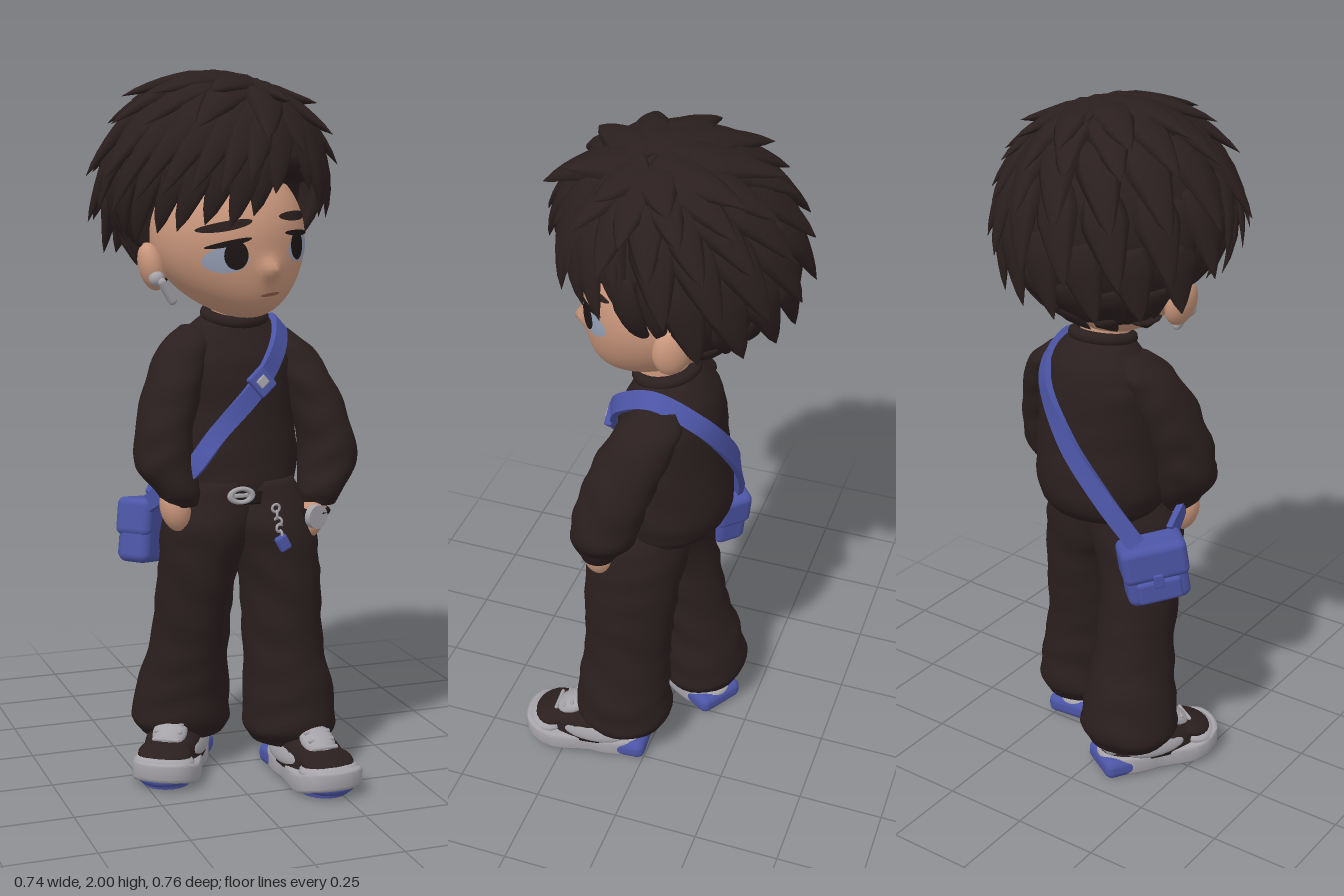
import * as THREE from 'three';
import { mergeGeometries, toCreasedNormals } from 'three/addons/utils/BufferGeometryUtils.js';
import { RoundedBoxGeometry } from 'three/addons/geometries/RoundedBoxGeometry.js';

const V = (x, y, z) => new THREE.Vector3(x, y, z);
const material = (name, color) => {
  const m = new THREE.MeshStandardMaterial({ color });
  m.name = name;
  return m;
};

// Skin a series of rings (arrays of Vector3) into a capped tube
function skin(rings) {
  const n = rings[0].length, pos = [], idx = [];
  rings.forEach(r => r.forEach(p => pos.push(p.x, p.y, p.z)));
  for (let i = 0; i < rings.length - 1; i++) for (let j = 0; j < n; j++) {
    const k = (j + 1) % n, a = i * n + j, b = i * n + k;
    idx.push(a, b, a + n, b, b + n, a + n);
  }
  [0, rings.length - 1].forEach(i => {
    const c = rings[i].reduce((s, p) => s.add(p), V(0, 0, 0)).divideScalar(n);
    const ci = pos.push(c.x, c.y, c.z) / 3 - 1;
    for (let j = 0; j < n; j++) {
      const a = i * n + j, b = i * n + (j + 1) % n;
      i ? idx.push(ci, a, b) : idx.push(ci, b, a);
    }
  });
  const g = new THREE.BufferGeometry();
  g.setAttribute('position', new THREE.Float32BufferAttribute(pos, 3));
  g.setIndex(idx);
  g.computeVertexNormals();
  return g;
}

// Loft through horizontal ellipses [x, y, z, rx, rz] listed from top to bottom, with soft cloth folds
function loft(sections, fold = 0, segs = 28) {
  const centers = new THREE.CatmullRomCurve3(sections.map(s => V(s[0], s[1], s[2])));
  const radii = new THREE.CatmullRomCurve3(sections.map(s => V(s[3], s[4], 0)));
  const steps = (sections.length - 1) * 6, rings = [];
  for (let i = 0; i <= steps; i++) {
    const c = centers.getPoint(i / steps), r = radii.getPoint(i / steps), ring = [];
    for (let j = 0; j < segs; j++) {
      const t = j / segs * Math.PI * 2;
      const f = 1 + fold * Math.sin(c.y * 55 + 2 * Math.sin(t * 2 + c.y * 9)) * (0.6 + 0.4 * Math.cos(3 * t));
      ring.push(V(c.x + Math.cos(t) * r.x * f, c.y, c.z + Math.sin(t) * r.y * f));
    }
    rings.push(ring);
  }
  return skin(rings);
}

// Hair volume
const HC = V(-0.005, 1.68, -0.008), HR = V(0.297, 0.297, 0.315);
const dir = (a, p) => V(Math.sin(p) * Math.sin(a), Math.cos(p), Math.sin(p) * Math.cos(a));
const onHair = (d, s) => d.clone().multiply(HR).multiplyScalar(s).add(HC);

// One pointed lock lying on the hair volume between two directions
function lock(from, to, width, lift) {
  const at = t => onHair(from.clone().lerp(to, t).normalize(), 0.98 + lift * t * t);
  const rings = [], N = 8;
  for (let i = 0; i <= N; i++) {
    const t = i / N, c = at(t), T = at(t + 0.02).sub(at(t - 0.02)).normalize();
    const n = c.clone().sub(HC).normalize();
    n.addScaledVector(T, -n.dot(T)).normalize();
    const side = T.clone().cross(n);
    const w = width * Math.min(1, 0.5 + 1.4 * t) * Math.pow(1 - t, 0.72) + 0.001;
    rings.push([...Array(8).keys()].map(j => {
      const q = j / 8 * Math.PI * 2;
      return c.clone().addScaledVector(n, Math.cos(q) * w * 0.42).addScaledVector(side, Math.sin(q) * w);
    }));
  }
  return skin(rings);
}

function hairGeometry() {
  const parts = [], rings = [];
  const limit = a => {
    const s = Math.abs(a);
    return 1.28 + 0.2 * Math.min(1, s / 1.3) + 1.15 * THREE.MathUtils.smoothstep(s, 1.68, 2.1);
  };
  for (let i = 0; i <= 13; i++) rings.push([...Array(40).keys()].map(j => {
    let a = Math.PI / 2 - j / 40 * Math.PI * 2;
    if (a < -Math.PI) a += Math.PI * 2;
    return onHair(dir(a, 0.02 + limit(a) * Math.min(i, 12) / 12), i === 13 ? 0.75 : 1);
  }));
  parts.push(skin(rings));
  // Rows of locks radiating from the crown
  const pole = V(0.32, 0.93, 0.1).normalize();
  const rows = [[0.45, 6], [0.8, 9], [1.12, 13], [1.45, 16], [1.75, 17], [2.05, 17], [2.35, 15], [2.65, 11]];
  rows.forEach(([p, n], r) => {
    for (let j = 0; j < n; j++) {
      const jit = Math.sin(j * 12.9 + r * 7.3);
      let a = (j + (r % 2) * 0.5) / n * Math.PI * 2 + jit * 0.08;
      if (a > Math.PI) a -= Math.PI * 2;
      const s = Math.abs(a), earFront = a < 0 ? 1.75 : 2.0;
      if ((p > 1.05 && Math.abs(a - 0.38) < 0.25) || (p > 1.3 && s < 1.25) || (p > 1.7 && s < 1.6) || (p > 1.9 && s < earFront)) continue;
      const to = dir(a, p + jit * 0.08), k = Math.min(0.9, 0.85 / to.angleTo(pole));
      const from = to.clone().lerp(pole, k).normalize();
      const lift = p < 0.6 ? 0.1 : p < 2.2 ? 0.2 + 0.03 * jit : 0.07;
      parts.push(lock(from, to, p > 2.2 ? 0.06 : 0.085, a < 0 ? lift * 1.12 : lift));
    }
  });
  // Fringe sweeping both ways from the parting
  const part = V(0.38, 0.76, 0.55).normalize();
  [[-1.5, 2.05], [-1.22, 2.05], [-0.95, 1.97], [-0.7, 1.92], [-0.45, 1.88], [-0.22, 1.88], [0, 1.8], [0.17, 1.6],
    [0.64, 1.58], [0.8, 1.75], [1.0, 1.84], [1.25, 1.84], [1.5, 1.82]].forEach(([a, p], i) => {
    const to = dir(a, p);
    parts.push(lock(part.clone().lerp(dir(a, 0.9), 0.45).normalize(), to, 0.078, i % 2 ? 0.08 : 0.02));
    parts.push(lock(part.clone().lerp(dir(a, 0.6), 0.4).normalize(), dir(a - 0.08, p - 0.3), 0.068, a < 0.1 ? 0.18 : 0.08));
  });
  // Sideburns and the locks over the ears
  [-1, 1].forEach(s => {
    parts.push(lock(dir(s * 1.45, 1.4), dir(s * 1.6, 2.32), 0.058, -0.1));
    parts.push(lock(dir(s * 1.7, 1.2), dir(s * 1.76, 2.08), 0.065, 0));
    parts.push(lock(dir(s * 1.9, 1.2), dir(s * 1.98, 2.1), 0.065, 0.05));
  });
  return mergeGeometries(parts);
}

// Face surface: an ellipsoid narrowed and pushed forward towards the chin, with a small nose
const FR = V(0.215, 0.222, 0.222);
const taper = v => (v < 0 ? 1 - 0.2 * v * v : 1);
const jut = v => (v < 0 ? 0.085 * v * v : 0);
const noseBump = (x, y) => 0.032 * Math.exp(-((x / 0.024) ** 2) - ((y + 0.082) / 0.026) ** 2);
function faceZ(x, y) {
  const v = y / FR.y, u = x / (FR.x * taper(v));
  return FR.z * Math.sqrt(Math.max(0, 1 - u * u - v * v)) + jut(v) + noseBump(x, y);
}

export function createModel() {
  const root = new THREE.Group();
  const dark = material('dark brown cloth and hair', 0x2b1f1f);
  const skinM = material('skin', 0xca977c);
  const blue = material('blue', 0x4c55a6);
  const grey = material('light grey', 0xa5a3a8);
  const black = material('black brown', 0x1d1616);
  const eyeM = material('eye white', 0x98a2b8);
  const lip = material('lip', 0x96604e);
  const add = (name, geo, mat, parent = root, p = [0, 0, 0], r = [0, 0, 0], s = [1, 1, 1]) => {
    const m = new THREE.Mesh(geo, mat);
    m.name = name;
    m.position.set(...p); m.rotation.set(...r); m.scale.set(...s);
    parent.add(m);
  };
  const ball = new THREE.SphereGeometry(1, 24, 16);

  // Head, turned and tilted
  const head = new THREE.Group();
  head.name = 'head';
  head.position.set(0.025, 1.545, 0);
  head.rotation.set(0, 0.2, 0.11);
  root.add(head);
  const skull = new THREE.SphereGeometry(1, 72, 54), sp = skull.attributes.position;
  for (let i = 0; i < sp.count; i++) {
    const v = sp.getY(i), x = sp.getX(i) * FR.x * taper(v), y = v * FR.y, z = sp.getZ(i);
    sp.setXYZ(i, x, y, z * FR.z + jut(v) + (z > 0 ? noseBump(x, y) : 0));
  }
  skull.computeVertexNormals();
  add('face', skull, skinM, head);
  // Thin painted ovals that follow the face
  const patch = (name, mat, cx, cy, rx, ry, rot = 0, lift = 0.003) => {
    const g = new THREE.RingGeometry(0.001, 1, 28, 5), p = g.attributes.position;
    for (let i = 0; i < p.count; i++) {
      const u = p.getX(i) * rx, v = p.getY(i) * ry;
      const x = cx + u * Math.cos(rot) - v * Math.sin(rot), y = cy + u * Math.sin(rot) + v * Math.cos(rot);
      p.setXYZ(i, x, y, faceZ(x, y) + lift);
    }
    g.computeVertexNormals();
    add(name, g, mat, head);
  };
  [-1, 1].forEach(s => {
    patch('eyeWhite', eyeM, s * 0.115, -0.04, 0.052, 0.036);
    patch('iris', black, s * 0.098 + 0.004, -0.03, 0.029, 0.039, 0, 0.005);
    patch('upperLid', black, s * 0.108, 0.004, 0.056, 0.008, -s * 0.14, 0.007);
    patch('eyebrow', dark, s * 0.108, 0.05, 0.066, 0.013, -s * 0.1, 0.004);
    add('ear', ball, skinM, head, [s * 0.226, -0.055, -0.04], [0, s * 0.35, -s * 0.15], [0.036, 0.068, 0.05]);
  });
  patch('mouth', lip, 0, -0.15, 0.03, 0.005);
  add('earphoneBud', ball, grey, head, [-0.235, -0.085, 0.0], [0, 0, 0], [0.022, 0.022, 0.022]);
  add('earphoneStem', new THREE.CapsuleGeometry(0.013, 0.06, 4, 10), grey, head, [-0.216, -0.122, 0.018], [0, 0, 0.45]);
  add('hair', hairGeometry(), dark);
  add('neck', new THREE.CylinderGeometry(0.068, 0.072, 0.16, 20), skinM, root, [0.05, 1.345, 0.005]);

  // Sweater
  add('sweater', loft([[0.05, 1.33, -0.02, 0.08, 0.078], [0.05, 1.31, -0.025, 0.105, 0.094], [0.05, 1.265, -0.03, 0.152, 0.12],
    [0.05, 1.2, -0.025, 0.18, 0.145], [0.05, 1.05, -0.028, 0.182, 0.155], [0.045, 0.9, -0.025, 0.192, 0.172],
    [0.045, 0.845, -0.015, 0.182, 0.165], [0.045, 0.815, -0.01, 0.165, 0.148]], 0.015, 36), dark);
  add('collar', new THREE.TorusGeometry(0.08, 0.018, 10, 28), dark, root, [0.05, 1.325, -0.008], [Math.PI / 2 + 0.2, 0, 0]);
  const sleeve = [[0.175, 1.28, -0.03, 0.04, 0.05], [0.21, 1.225, -0.01, 0.072, 0.09], [0.26, 1.11, 0.038, 0.08, 0.1],
    [0.295, 0.98, 0.078, 0.08, 0.098], [0.293, 0.9, 0.095, 0.082, 0.095], [0.262, 0.83, 0.12, 0.062, 0.072], [0.256, 0.795, 0.125, 0.046, 0.052]];
  add('leftSleeve', loft(sleeve, 0.055), dark);
  add('rightSleeve', loft(sleeve.map(([x, y, z, a, b]) => [0.113 - x, y + 0.015, z * 0.75, a, b]), 0.055), dark);

  // Hands reaching into the pockets, and the wrist watch
  add('leftHand', ball, skinM, root, [0.235, 0.765, 0.135], [0, 0, -0.25], [0.037, 0.07, 0.045]);
  add('rightHand', ball, skinM, root, [-0.16, 0.8, 0.095], [0, 0, 0.25], [0.042, 0.067, 0.047]);
  add('watchBand', new THREE.TorusGeometry(0.04, 0.011, 8, 24), black, root, [0.235, 0.775, 0.135], [Math.PI / 2, 0, 0]);
  add('watchFace', new THREE.CylinderGeometry(0.034, 0.034, 0.02, 24), grey, root, [0.228, 0.766, 0.18], [Math.PI / 2, 0, -0.35]);

  // Trousers and belt
  add('leftTrouserLeg', loft([[0.1, 0.87, 0.02, 0.11, 0.125], [0.125, 0.75, 0.05, 0.135, 0.145], [0.158, 0.6, 0.065, 0.116, 0.14],
    [0.168, 0.4, 0.075, 0.114, 0.13], [0.183, 0.25, 0.083, 0.128, 0.14], [0.187, 0.15, 0.083, 0.136, 0.146], [0.187, 0.1, 0.08, 0.11, 0.12]], 0.035), dark);
  add('rightTrouserLeg', loft([[-0.005, 0.87, 0.02, 0.11, 0.125], [-0.035, 0.75, 0.03, 0.138, 0.14], [-0.068, 0.6, 0.01, 0.11, 0.133],
    [-0.077, 0.4, -0.03, 0.111, 0.126], [-0.087, 0.25, -0.067, 0.132, 0.135], [-0.09, 0.15, -0.08, 0.148, 0.136], [-0.087, 0.1, -0.08, 0.12, 0.115]], 0.035), dark);
  add('belt', loft([[0.045, 0.845, 0.01, 0.157, 0.148], [0.045, 0.81, 0.01, 0.165, 0.152]]), black);
  add('beltBuckle', new THREE.TorusGeometry(0.024, 0.008, 8, 20), grey, root, [0.01, 0.838, 0.165], [0, 0, 0], [1.3, 0.8, 1]);
  add('beltBuckleBar', new RoundedBoxGeometry(0.04, 0.012, 0.01, 2, 0.004), grey, root, [0.01, 0.838, 0.166]);
  for (let i = 0; i < 5; i++)
    add('keyChainLink', new THREE.TorusGeometry(0.011, 0.004, 6, 12), grey, root, [0.105 + i * 0.002, 0.8 - i * 0.018, 0.185 + i * 0.004], [0, i * 1.2, 0]);
  add('keyCharm', new RoundedBoxGeometry(0.036, 0.046, 0.022, 2, 0.008), blue, root, [0.118, 0.705, 0.208], [0, 0, 0.5]);

  // Cross-body strap
  const path = new THREE.CatmullRomCurve3([V(-0.2, 0.79, -0.03), V(-0.175, 0.85, 0.07), V(-0.12, 0.92, 0.135), V(-0.05, 1.01, 0.14),
    V(0.07, 1.14, 0.14), V(0.14, 1.24, 0.1), V(0.18, 1.3, -0.015), V(0.155, 1.23, -0.14), V(0.05, 1.08, -0.195),
    V(-0.07, 0.92, -0.185), V(-0.16, 0.79, -0.15)]);
  const strap = [];
  for (let i = 0; i <= 70; i++) {
    const c = path.getPoint(i / 70), T = path.getTangent(i / 70);
    const n = c.clone().sub(V(0.05, Math.min(c.y, 1.18), -0.02));
    n.addScaledVector(T, -n.dot(T)).normalize();
    const b = T.clone().cross(n);
    strap.push([[1, -1], [1, 1], [-1, 1], [-1, -1]].map(([h, w]) =>
      c.clone().addScaledVector(n, h * 0.009).addScaledVector(b, w * 0.026)));
  }
  add('bagStrap', toCreasedNormals(skin(strap), 0.7), blue);
  add('strapBuckle', new RoundedBoxGeometry(0.07, 0.06, 0.022, 2, 0.006), blue, root, [0.075, 1.15, 0.147], [-0.15, 0.1, -0.85]);
  add('strapClasp', new RoundedBoxGeometry(0.028, 0.032, 0.012, 2, 0.004), grey, root, [0.075, 1.152, 0.156], [-0.15, 0.1, -0.85]);

  // Bag on the right hip
  const bag = new THREE.Group();
  bag.name = 'bag';
  bag.position.set(-0.185, 0.7, -0.095);
  bag.rotation.set(0, Math.PI * 1.25, 0.16);
  root.add(bag);
  add('bagBody', new RoundedBoxGeometry(0.18, 0.18, 0.1, 3, 0.025), blue, bag);
  add('bagFlap', new RoundedBoxGeometry(0.19, 0.11, 0.11, 3, 0.022), blue, bag, [0, 0.04, 0.004]);
  add('bagPocket', new RoundedBoxGeometry(0.13, 0.07, 0.03, 2, 0.012), blue, bag, [0, -0.045, 0.045]);
  add('bagClasp', new RoundedBoxGeometry(0.03, 0.04, 0.012, 2, 0.004), blue, bag, [0, -0.01, 0.06]);

  // Chunky trainers with turned-up toes
  const print = new THREE.Shape();
  print.moveTo(0, -0.175);
  print.bezierCurveTo(0.075, -0.175, 0.075, -0.08, 0.07, -0.02);
  print.bezierCurveTo(0.08, 0.06, 0.13, 0.185, 0.005, 0.188);
  print.bezierCurveTo(-0.12, 0.185, -0.08, 0.06, -0.07, -0.02);
  print.bezierCurveTo(-0.075, -0.08, -0.075, -0.175, 0, -0.175);
  const midsole = new THREE.ExtrudeGeometry(print, { depth: 0.038, bevelThickness: 0.01, bevelSize: 0.01, bevelSegments: 3, curveSegments: 14 });
  midsole.rotateX(Math.PI / 2).translate(0, 0.052, 0);
  const mp = midsole.attributes.position;
  for (let i = 0; i < mp.count; i++) mp.setY(i, mp.getY(i) + 0.026 * THREE.MathUtils.smoothstep(mp.getZ(i), 0.08, 0.2));
  const sole = toCreasedNormals(midsole, 0.7);
  const shoe = (name, x, z, yaw) => {
    const g = new THREE.Group();
    g.name = name;
    g.position.set(x, 0, z);
    g.rotation.y = yaw;
    root.add(g);
    add('midsole', sole, grey, g);
    add('forefootTread', new THREE.CylinderGeometry(0.078, 0.07, 0.03, 32), blue, g, [0, 0.0155, 0.09], [0, 0, 0], [1, 1, 1.05]);
    add('toeTread', ball, blue, g, [0, 0.032, 0.125], [0, 0, 0], [0.078, 0.03, 0.069]);
    add('heelBlock', new RoundedBoxGeometry(0.156, 0.06, 0.125, 3, 0.024), blue, g, [0, 0.031, -0.127]);
    add('upper', loft([[0, 0.17, -0.09, 0.055, 0.07], [0, 0.135, -0.06, 0.066, 0.11], [0, 0.1, -0.01, 0.08, 0.155], [0, 0.05, 0, 0.086, 0.178]]), dark, g);
    add('toeRim', ball, grey, g, [0, 0.07, 0.122], [0, 0, 0], [0.088, 0.03, 0.068]);
    add('toePanel', ball, dark, g, [0, 0.09, 0.108], [0.22, 0, 0], [0.078, 0.028, 0.07]);
    add('tongue', ball, grey, g, [0, 0.13, 0.048], [0.5, 0, 0], [0.05, 0.028, 0.068]);
    for (let i = 0; i < 3; i++)
      add('lace', new THREE.CapsuleGeometry(0.006, 0.07, 3, 8), grey, g, [0, 0.154 - i * 0.015, 0.045 + i * 0.026], [0, 0, Math.PI / 2]);
    [-1, 1].forEach(s => add('sidePanel', ball, grey, g, [s * 0.07, 0.085, -0.03], [0, 0, s * 0.3], [0.016, 0.034, 0.095]));
    add('heelTab', ball, grey, g, [0, 0.09, -0.15], [0, 0, 0], [0.05, 0.045, 0.027]);
  };
  shoe('leftShoe', 0.21, 0.19, 0.08);
  shoe('rightShoe', -0.135, -0.005, -0.55);
  return root;
}
